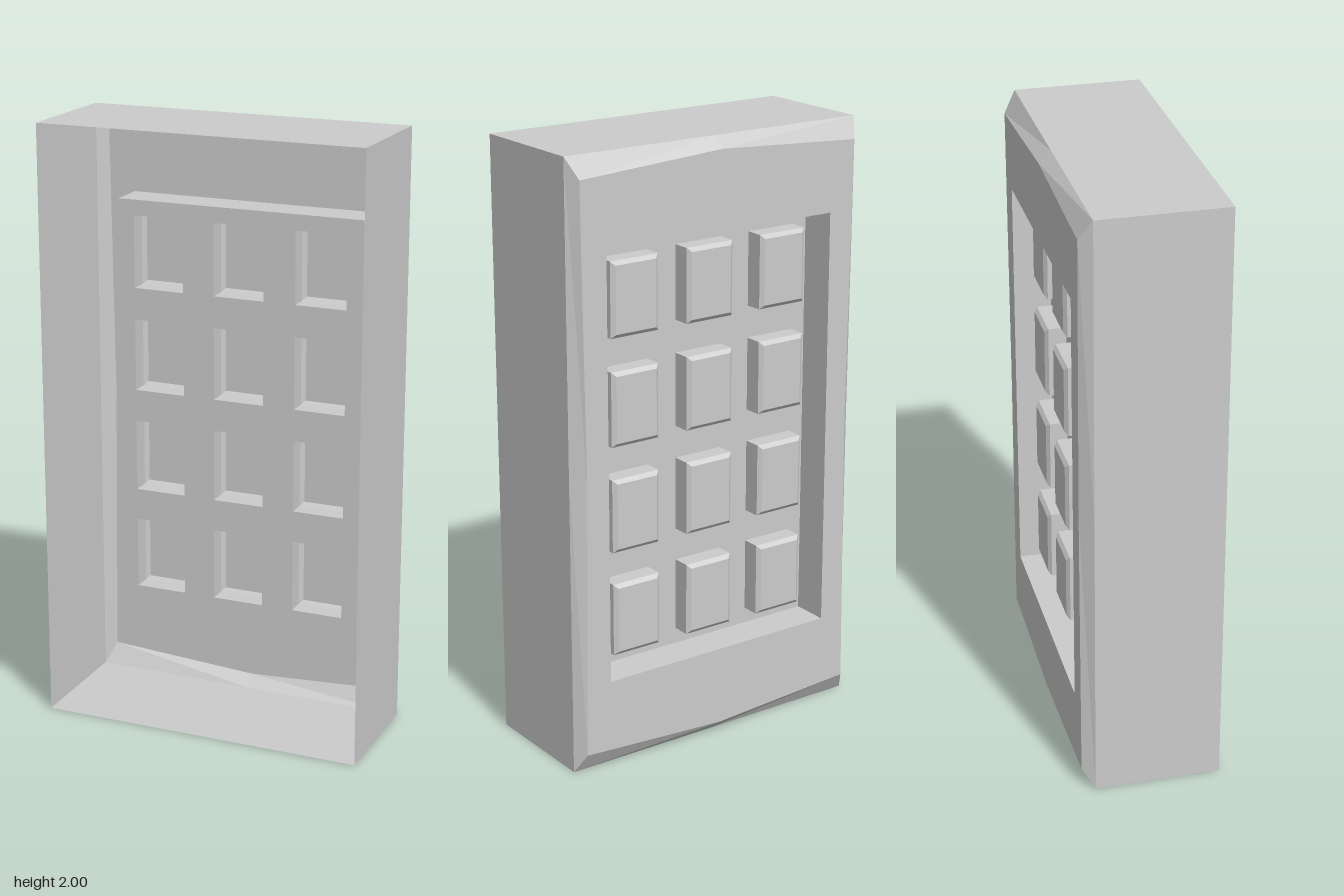
import * as THREE from 'three';

const material = new THREE.MeshStandardMaterial({
  color: 0xcccccc, flatShading: true, side: THREE.DoubleSide,
});

// Depths, from the open front to the back of the keypad
const FRONT = 0.227, EDGE = -0.19, BACK = -0.23;
const PANEL = -0.105, KEY_RIM = -0.165, KEY_TOP = -0.176;

// Rectangle outline with a point in the middle of every side
function rect(cx, cy, hw, hh) {
  return [[1, -1], [1, 0], [1, 1], [0, 1], [-1, 1], [-1, 0], [-1, -1], [0, -1]]
    .map(([u, v]) => [cx + u * hw, cy + v * hh]);
}

// Skin between outlines stacked along z
function loft(sections) {
  const pos = [];
  for (let s = 0; s + 1 < sections.length; s++) {
    const [a, za] = sections[s], [b, zb] = sections[s + 1];
    for (let i = 0; i < a.length; i++) {
      const j = (i + 1) % a.length;
      const p = [...a[i], za], q = [...a[j], za], r = [...b[i], zb], t = [...b[j], zb];
      pos.push(...p, ...r, ...q, ...q, ...r, ...t);
    }
  }
  const geo = new THREE.BufferGeometry();
  geo.setAttribute('position', new THREE.Float32BufferAttribute(pos, 3));
  geo.computeVertexNormals();
  return geo;
}

// Flat sheet with holes, facing the back
function sheet(outline, z, holes = []) {
  const toVectors = (pts) => pts.map(([x, y]) => new THREE.Vector2(-x, y));
  const shape = new THREE.Shape(toVectors(outline));
  shape.holes = holes.map((h) => new THREE.Path(toVectors(h)));
  return new THREE.ShapeGeometry(shape).rotateY(Math.PI).translate(0, 0, z);
}

export function createModel() {
  const group = new THREE.Group();
  const add = (name, geometry, parent = group) => {
    const mesh = new THREE.Mesh(geometry, material);
    mesh.name = name;
    parent.add(mesh);
  };

  // Housing: open box whose bevel meets a slightly bent eight-point outline
  const outer = rect(0, 1, 0.548, 1);
  const inner = [[0.52, 0.067], [0.508, 1], [0.52, 1.933], [0, 1.964],
    [-0.52, 1.933], [-0.508, 1], [-0.52, 0.067], [0, 0.036]];
  const opening = rect(0, 1.004, 0.428, 0.703);
  add('housingWalls', loft([[outer, FRONT], [outer, EDGE]]));
  add('housingBevel', loft([[outer, EDGE], [inner, BACK]]));
  add('backFrame', sheet(inner, BACK, [opening]));

  // Sunken panel
  add('recessWalls', loft([[opening, BACK], [opening, PANEL]]));

  // Hollow keys, three columns by four rows
  const keys = new THREE.Group();
  keys.name = 'keys';
  group.add(keys);
  const bases = [];
  for (let row = 0; row < 4; row++) {
    for (let col = -1; col <= 1; col++) {
      const x = col * 0.285, y = 0.476 + row * 0.352;
      const base = rect(x, y, 0.088, 0.122);
      const top = rect(x, y, 0.075, 0.109);
      bases.push(base);
      add('keySides', loft([[base, PANEL], [base, KEY_RIM], [top, KEY_TOP]]), keys);
      add('keyTop', sheet(top, KEY_TOP), keys);
    }
  }
  add('keyPanel', sheet(opening, PANEL, bases));
  return group;
}
